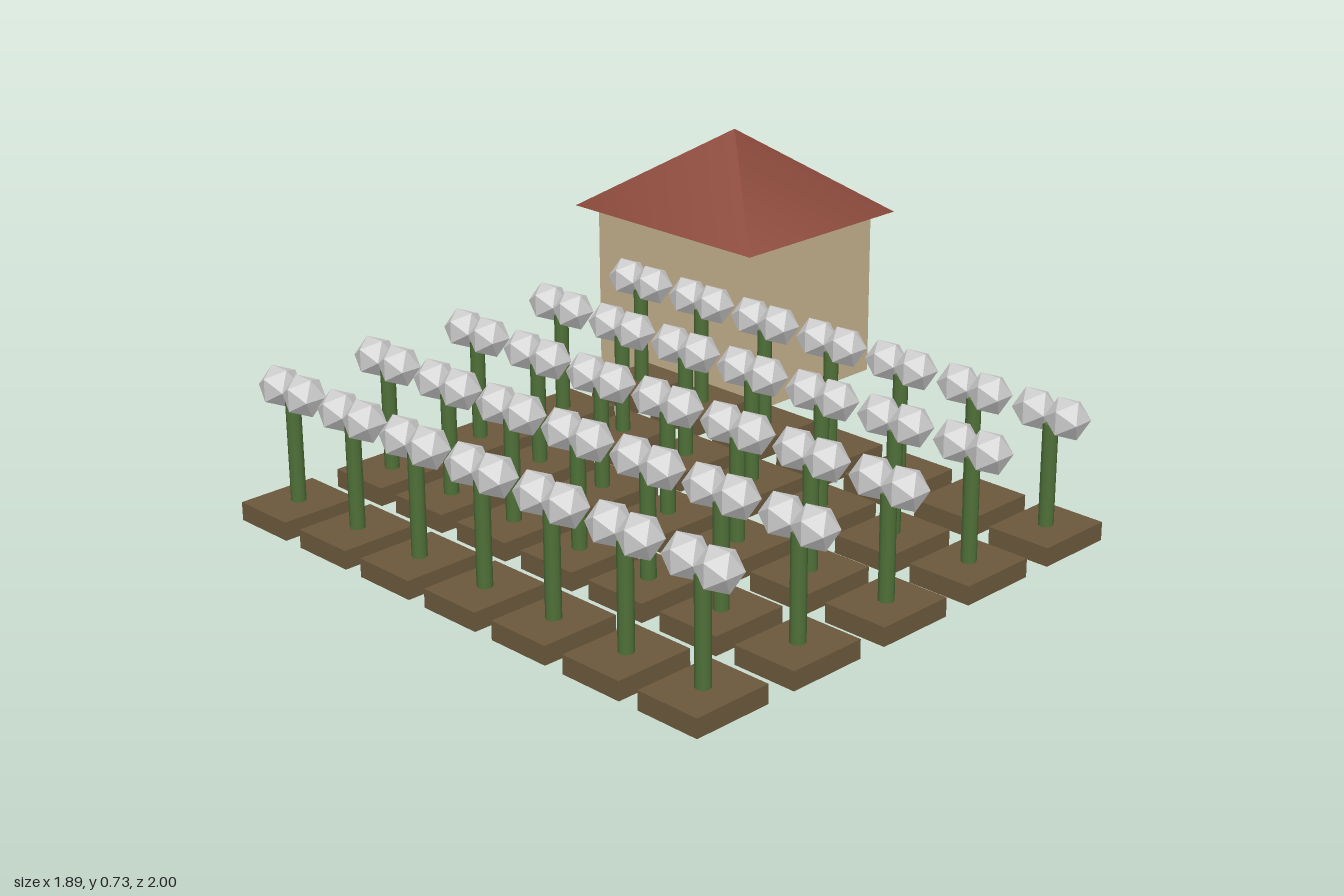
import * as THREE from 'three';

const paint = (color, flatShading = false) => new THREE.MeshStandardMaterial({ color, flatShading });

function addPart(parent, name, geometry, material, x, y, z) {
  const mesh = new THREE.Mesh(geometry, material);
  mesh.name = name;
  mesh.position.set(x, y, z);
  parent.add(mesh);
  return mesh;
}

export function createModel() {
  const model = new THREE.Group();
  model.name = 'farm';

  const wallPaint = paint(0xc4b08c);
  const roofPaint = paint(0x8b4a3c);
  const soilPaint = paint(0x6b583c);
  const stemPaint = paint(0x4f7038);
  const bollPaint = paint(0xcccccc, true);

  // Farmhouse: plain box with an overhanging pyramid roof
  const house = new THREE.Group();
  house.name = 'farmhouse';
  house.position.set(-0.595, 0, -0.697);
  model.add(house);
  addPart(house, 'walls', new THREE.BoxGeometry(0.61, 0.49, 0.51), wallPaint, 0, 0.245, 0);
  const roofGeometry = new THREE.ConeGeometry(Math.SQRT1_2, 1, 4)
    .rotateY(Math.PI / 4)
    .scale(0.706, 0.24, 0.606);
  addPart(house, 'roof', roofGeometry, roofPaint, 0, 0.61, 0);

  // Field: seven by five soil plots, each with one stem and two bolls
  const soil = new THREE.BoxGeometry(0.184, 0.05, 0.223);
  const stem = new THREE.CylinderGeometry(0.02, 0.02, 0.28, 8);
  const boll = new THREE.IcosahedronGeometry(0.058);
  for (let row = 0; row < 5; row++) {
    for (let col = 0; col < 7; col++) {
      const plot = new THREE.Group();
      plot.name = `plot_${row + 1}_${col + 1}`;
      plot.position.set(-0.614 + col * 0.2435, 0, -0.334 + row * 0.3055);
      model.add(plot);
      addPart(plot, 'soil', soil, soilPaint, 0, 0.025, 0);
      addPart(plot, 'stem', stem, stemPaint, 0, 0.185, 0);
      for (const side of [-1, 1]) {
        addPart(plot, side < 0 ? 'rightBoll' : 'leftBoll', boll, bollPaint, side * 0.05, 0.35, 0);
      }
    }
  }
  return model;
}
